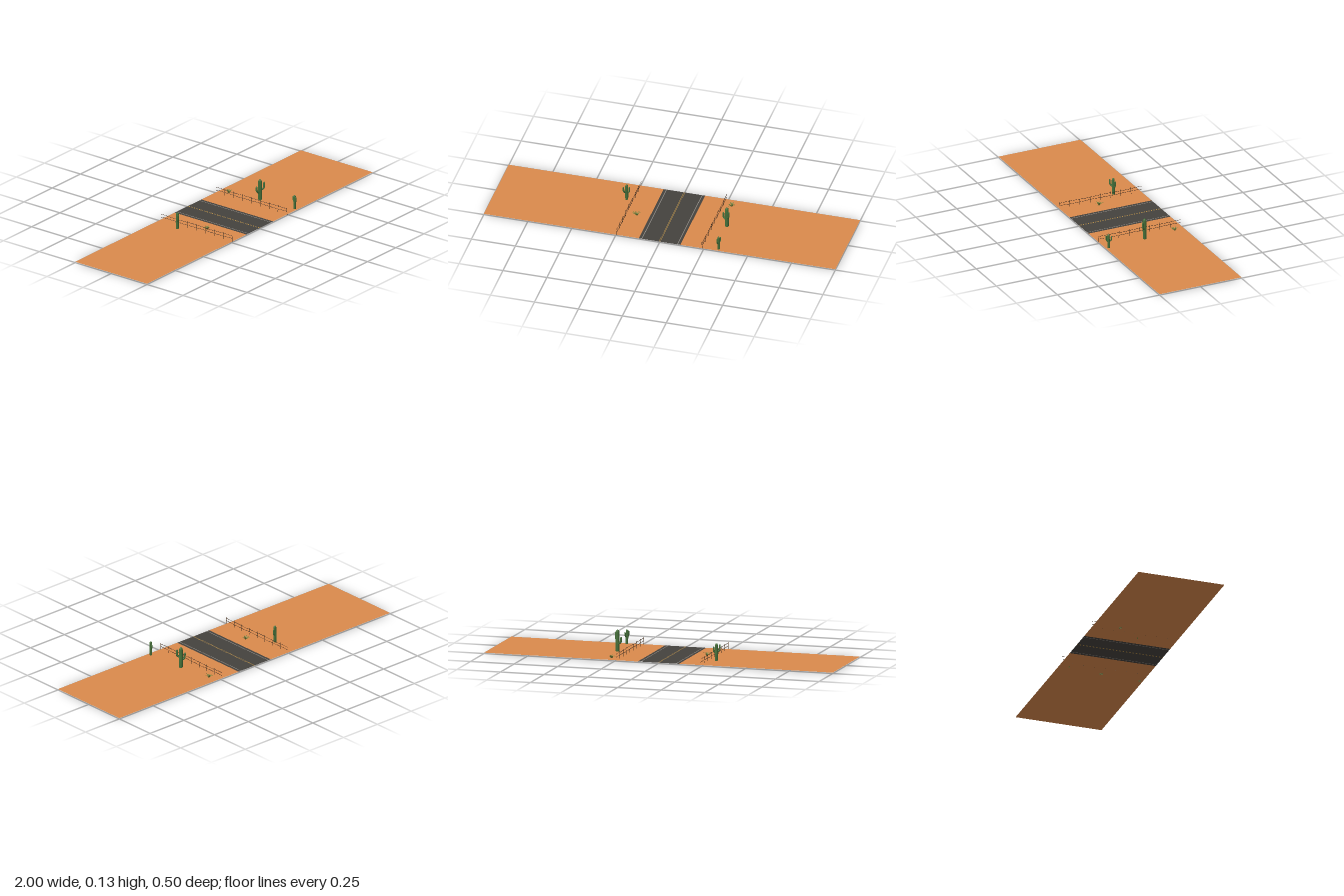
import * as THREE from 'three';
import { mergeVertices } from 'three/addons/utils/BufferGeometryUtils.js';

const GROUND = 0.006;
const mat = (color) => new THREE.MeshStandardMaterial({ color, side: THREE.DoubleSide });
const sand = mat(0xdb8a4c), asphalt = mat(0x45423e), paintWhite = mat(0x8f8c86), paintYellow = mat(0xb08a45);
const cactusGreen = mat(0x46713a), leafGreen = mat(0x75803a), wood = mat(0x5c4128), wire = mat(0x3d2a1e);

function add(parent, geometry, material, name) {
  const mesh = new THREE.Mesh(geometry, material);
  mesh.name = name;
  parent.add(mesh);
  return mesh;
}

const curveOf = (pts) => new THREE.CatmullRomCurve3(pts.map((p) => new THREE.Vector3(...p)));

// Tube with lengthwise ribs and a rounded tip
function ribbedLimb(points, radius, ribs) {
  const curve = curveOf(points), rings = 40, sides = ribs * 4;
  const geo = new THREE.TubeGeometry(curve, rings, radius, sides, false);
  const pos = geo.attributes.position, v = new THREE.Vector3();
  const length = curve.getLength();
  for (let i = 0; i <= rings; i++) {
    const t = i / rings, c = curve.getPointAt(t);
    const cap = Math.max(0, 1 - (length * (1 - t)) / (radius * 1.4));
    const profile = Math.sqrt(Math.max(0, 1 - cap * cap)) * (0.88 + 0.12 * Math.sin(Math.PI * t));
    for (let j = 0; j <= sides; j++) {
      const k = i * (sides + 1) + j;
      const rib = 0.92 + 0.1 * Math.cos((j / sides) * ribs * Math.PI * 2);
      v.fromBufferAttribute(pos, k).sub(c).multiplyScalar(profile * rib).add(c);
      pos.setXYZ(k, v.x, v.y, v.z);
    }
  }
  geo.deleteAttribute('uv');
  geo.deleteAttribute('normal');
  const merged = mergeVertices(geo, 1e-6);
  merged.computeVertexNormals();
  return merged;
}

// arms: [dx, dz, elbow height, tip height]
function cactus({ x, z, height, radius, arms }) {
  const group = new THREE.Group();
  group.name = 'cactus';
  group.position.set(x, 0, z);
  const trunk = [[0, 0.003, 0], [0.0005, height * 0.35, -0.0005], [-0.0005, height * 0.7, 0.001], [0, height, 0]];
  add(group, ribbedLimb(trunk, radius, 9), cactusGreen, 'cactusTrunk');
  for (const [dx, dz, low, high] of arms) {
    const path = [
      [0, low, 0],
      [dx * 0.6, low + 0.003, dz * 0.6],
      [dx * 0.93, low + 0.011, dz * 0.93],
      [dx, (low + high) / 2 + 0.006, dz],
      [dx * 1.04, high, dz * 1.04],
    ];
    add(group, ribbedLimb(path, radius * 0.52, 7), cactusGreen, 'cactusArm');
  }
  return group;
}

// Tapering, folded leaf that arches outward and droops at the tip
function leafGeometry(reach, rise) {
  const steps = 8, verts = [], index = [];
  for (let i = 0; i <= steps; i++) {
    const t = i / steps;
    const w = 0.0028 * Math.pow(1 - t, 0.7) * (0.6 + 0.9 * Math.sin(Math.PI * Math.min(1, t + 0.15)));
    const y = 0.001 + rise * Math.sin(Math.PI * 0.72 * t), r = 0.001 + reach * Math.pow(t, 1.15);
    verts.push(r, y + w * 0.4, -w, r, y, 0, r, y + w * 0.4, w);
    if (i < steps) {
      for (const s of [0, 1]) {
        const a = i * 3 + s, b = a + 3;
        index.push(a, a + 1, b, b, a + 1, b + 1);
      }
    }
  }
  const geo = new THREE.BufferGeometry();
  geo.setAttribute('position', new THREE.Float32BufferAttribute(verts, 3));
  geo.setIndex(index);
  geo.computeVertexNormals();
  return geo;
}

function agave(x, z, turn) {
  const group = new THREE.Group();
  group.name = 'agave';
  group.position.set(x, 0, z);
  for (let i = 0; i < 11; i++) {
    const inner = i % 3 === 2;
    const reach = inner ? 0.011 : 0.025 + 0.006 * Math.sin(i * 2.3);
    const rise = inner ? 0.02 : 0.017 + 0.003 * Math.cos(i * 1.7);
    add(group, leafGeometry(reach, rise), leafGreen, 'agaveLeaf').rotation.y = turn + i * 2.4;
  }
  return group;
}

// Leaning posts joined by two sagging rails
function fence(x) {
  const group = new THREE.Group();
  group.name = 'fence';
  group.position.x = x;
  for (let i = 0; i < 8; i++) {
    const post = add(group, new THREE.CylinderGeometry(0.0011, 0.0014, 0.042, 6), wood, 'fencePost');
    post.position.set(0, 0.0245, 0.249 - i * 0.0623);
    post.rotation.set(0.025 * Math.sin(i * 2.1), 0, 0.04 * Math.cos(i * 1.9));
  }
  for (const [height, phase] of [[0.0385, 0], [0.0225, 1.7]]) {
    const pts = [];
    for (let i = 0; i <= 16; i++) {
      pts.push([0.0012, height + 0.0011 * Math.sin(i * 0.9 + phase) + 0.0005 * Math.sin(i * 2.2), 0.25 - i * 0.03125]);
    }
    add(group, new THREE.TubeGeometry(curveOf(pts), 48, 0.001, 5), wire, 'fenceRail');
  }
  return group;
}

export function createModel() {
  const model = new THREE.Group();
  model.name = 'desertRoad';

  // Flat strips laid side by side across the ground
  const strip = (x0, x1, material, name) => {
    const geo = new THREE.PlaneGeometry(x1 - x0, 0.5).rotateX(-Math.PI / 2);
    add(model, geo, material, name).position.set((x0 + x1) / 2, GROUND, 0);
  };
  for (const s of [-1, 1]) {
    const side = (a, b, m, name) => strip(Math.min(s * a, s * b), Math.max(s * a, s * b), m, name);
    side(0.118, 1, sand, 'desertGround');
    side(0.103, 0.118, asphalt, 'roadShoulder');
    side(0.099, 0.103, paintWhite, 'edgeLine');
    side(0.004, 0.099, asphalt, 'roadLane');
    side(0.0015, 0.004, paintYellow, 'centreLine');
  }
  strip(-0.0015, 0.0015, asphalt, 'roadCentre');

  model.add(fence(-0.245), fence(0.241));

  model.add(
    cactus({ x: 0.314, z: 0.004, height: 0.128, radius: 0.0108, arms: [[-0.022, -0.006, 0.05, 0.09], [0.014, 0.017, 0.067, 0.113]] }),
    cactus({ x: -0.286, z: -0.1, height: 0.103, radius: 0.0088, arms: [[-0.014, 0.016, 0.055, 0.095], [0.014, -0.005, 0.048, 0.086]] }),
    cactus({ x: 0.331, z: 0.232, height: 0.087, radius: 0.0076, arms: [[0.006, -0.015, 0.045, 0.076], [-0.006, 0.012, 0.042, 0.08]] }),
  );
  model.add(agave(-0.19, 0.034, 0.3), agave(0.287, -0.193, 1.4));
  return model;
}
